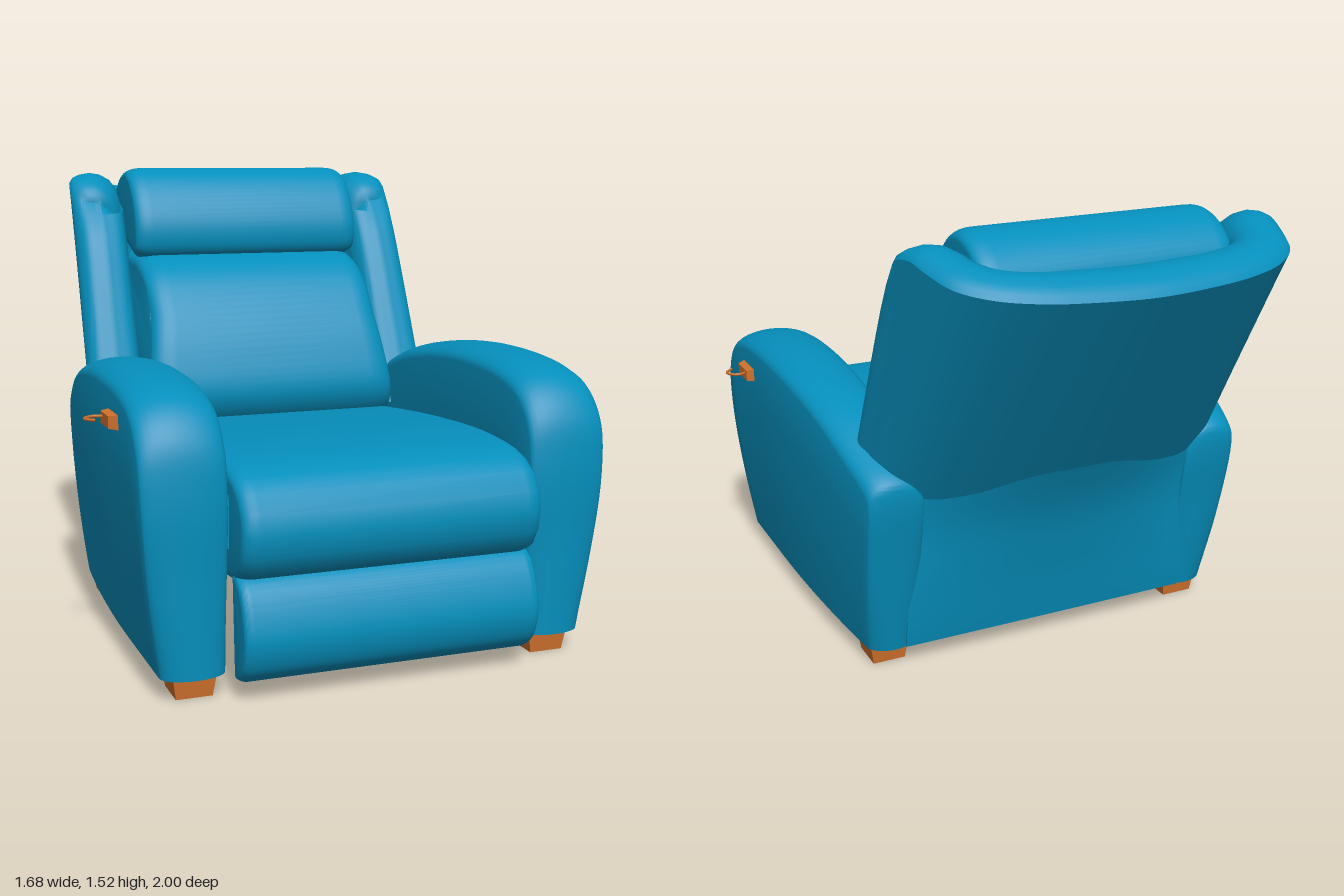
import * as THREE from 'three';
import { toCreasedNormals } from 'three/addons/utils/BufferGeometryUtils.js';

const fabric = new THREE.MeshStandardMaterial({ color: 0x058fbc });
fabric.name = 'blue upholstery';
const wood = new THREE.MeshStandardMaterial({ color: 0xcf712d });
wood.name = 'orange wood';

const lerp = THREE.MathUtils.lerp;
const clamp = THREE.MathUtils.clamp;
const spline = (points) => new THREE.CatmullRomCurve3(points.map(([a, b]) => new THREE.Vector3(a, b, 0)));

// Move every vertex by a rule, then recompute normals with sharp edges kept
function shapeBy(geometry, rule) {
  const p = geometry.attributes.position;
  const v = new THREE.Vector3();
  for (let i = 0; i < p.count; i++) {
    v.fromBufferAttribute(p, i);
    rule(v);
    p.setXYZ(i, v.x, v.y, v.z);
  }
  return toCreasedNormals(geometry, 0.6);
}

// Padded slab: a [z, y] side profile extruded across x, centred on x = 0
function slab(profile, tail, width, bevelSize, bevelThickness, rule = () => {}, steps = 1) {
  const outline = spline(profile.map(([z, y]) => [-z, y])).getSpacedPoints(44).map((p) => new THREE.Vector2(p.x, p.y));
  tail.forEach(([z, y]) => outline.push(new THREE.Vector2(-z, y)));
  const depth = width - 2 * bevelThickness;
  const g = new THREE.ExtrudeGeometry(new THREE.Shape(outline), {
    depth, steps, bevelEnabled: bevelSize > 0, bevelSize, bevelThickness,
    bevelOffset: -bevelSize, bevelSegments: 6,
  });
  g.translate(0, 0, -depth / 2);
  g.rotateY(Math.PI / 2);
  return shapeBy(g, rule);
}

// Skin over a row of closed sections (arrays of Vector3), with both ends filled
function loft(sections, flip = false) {
  const n = sections[0].length, last = sections.length - 1;
  const points = sections.flat();
  const index = [];
  const face = (a, b, c) => index.push(...(flip ? [a, c, b] : [a, b, c]));
  const centres = [sections[0], sections[last]].map((s) => {
    const c = new THREE.Vector3();
    s.forEach((p) => c.addScaledVector(p, 1 / n));
    return points.push(c) - 1;
  });
  for (let j = 0; j < n; j++) {
    const k = (j + 1) % n;
    for (let i = 0; i < last; i++) {
      face(i * n + j, (i + 1) * n + j, (i + 1) * n + k);
      face(i * n + j, (i + 1) * n + k, i * n + k);
    }
    face(j, k, centres[0]);
    face(last * n + k, last * n + j, centres[1]);
  }
  const g = new THREE.BufferGeometry().setFromPoints(points);
  g.setIndex(index);
  return toCreasedNormals(g, 0.6);
}

// Wrap-around backrest: outer and inner halves of a U in [x, depth], carried up the recline
function backrest() {
  const outer = [[0, 0], [0.2, 0.015], [0.35, 0.04], [0.48, 0.085], [0.57, 0.155], [0.61, 0.25],
    [0.63, 0.34], [0.642, 0.42], [0.612, 0.475], [0.545, 0.49]];
  const inner = [[0, 0.2], [0.15, 0.205], [0.28, 0.215], [0.37, 0.24], [0.42, 0.29], [0.437, 0.34],
    [0.445, 0.38], [0.452, 0.42], [0.48, 0.47], [0.545, 0.49]];
  const full = (h) => spline([...h.slice(1).reverse(), ...h.map(([x, d]) => [-x, d])]).getPoints(108);
  const O = full(outer), I = full(inner);
  const low = 0.56, high = 1.37;
  // Section as [fraction from outer to inner, height fraction, roll height]
  const levels = Array.from({ length: 9 }, (_, i) => i / 8);
  const section = [
    ...levels.map((t) => [0, t, 0]),
    [0.06, 1, 0.018], [0.2, 1, 0.03], [0.4, 1, 0.036], [0.6, 1, 0.03], [0.8, 1, 0.01], [0.93, 1, -0.025], [1, 1, -0.07],
    ...levels.slice(0, 8).reverse().map((t) => [1, t, 0]),
  ];
  return loft(O.map((o, i) => section.map(([s, t, roll]) => {
    const p = o.clone().lerp(I[i], s);
    const thick = Math.min(1, o.distanceTo(I[i]) / 0.15);
    const d = p.y * lerp(0.62, 1, t);
    // The wing tops roll over towards the front
    const drop = 3.5 * t ** 4 * Math.max(0, d - 0.3) ** 2;
    return new THREE.Vector3(p.x * lerp(1.01, 0.98, t),
      lerp(low, high, t) + roll * thick + 0.3 * d - drop, lerp(-0.453, -0.995, t) + d);
  })));
}

// Arm: rays from a floor line out to a [z, y] profile; outside tapers to the floor and the rear
function arm(side) {
  const profile = spline([
    [0.9, 0.07], [0.905, 0.35], [0.91, 0.62], [0.885, 0.77], [0.81, 0.865], [0.68, 0.912], [0.4, 0.932],
    [0.15, 0.915], [-0.1, 0.865], [-0.3, 0.785], [-0.44, 0.71], [-0.452, 0.67], [-0.41, 0.4], [-0.35, 0.07],
  ]).getPoints(78);
  const edge = 0.055;
  // Section as [fraction of the ray, inset from the profile, fraction across]
  const rays = [0, 0.25, 0.5, 0.75];
  const arch = Array.from({ length: 15 }, (_, i) => {
    const a = (i / 14) * Math.PI;
    return [1, edge * (1 - Math.sin(a)), 0.5 + 0.5 * Math.cos(a)];
  });
  const section = [...rays.map((f) => [f, edge, 1]), ...arch, ...rays.slice().reverse().map((f) => [f, edge, 0])];
  return loft(profile.map((p) => {
    const foot = new THREE.Vector3(0.2 + (p.x - 0.2) * 0.6, 0.07, 0);
    const length = p.distanceTo(foot);
    return section.map(([f, inset, across]) => {
      const q = foot.clone().lerp(p, f * (1 - inset / length));
      const floor = 1 - 0.29 * Math.max(0, 1 - q.y / 0.8) ** 2;
      const rear = 1 - 0.28 * Math.max(0, (0.5 - q.x) / 0.95) ** 2;
      return new THREE.Vector3(side * (0.49 + 0.262 * across * floor * rear), q.y, q.x);
    });
  }), side < 0);
}

export function createModel() {
  const model = new THREE.Group();
  model.name = 'recliner';
  const add = (name, geometry, material = fabric) => {
    const mesh = new THREE.Mesh(geometry, material);
    mesh.name = name;
    model.add(mesh);
    return mesh;
  };

  // Seat and footrest
  add('seatCushion', slab([
    [-0.35, 0.38], [0.3, 0.35], [0.88, 0.345], [0.965, 0.39], [1, 0.5], [0.97, 0.6],
    [0.89, 0.66], [0.7, 0.69], [0.3, 0.68], [-0.35, 0.62],
  ], [], 0.955, 0.03, 0.05));
  add('seatBase', new THREE.BoxGeometry(0.99, 0.16, 1.15)).position.set(0, 0.52, 0.28);
  add('footrest', slab([
    [0.88, 0.385], [0.945, 0.345], [0.985, 0.27], [1, 0.18], [0.975, 0.1], [0.93, 0.06], [0.89, 0.05],
  ], [], 0.95, 0.02, 0.03));
  add('underSeatRail', new THREE.BoxGeometry(0.92, 0.08, 0.06)).position.set(0, 0.33, 0.6);

  // Lumbar cushion, wider towards the seat
  add('backCushion', slab([
    [-0.32, 0.6], [-0.15, 0.6], [-0.07, 0.71], [-0.1, 0.87], [-0.19, 1.05],
    [-0.28, 1.15], [-0.4, 1.205], [-0.64, 1.22],
  ], [], 0.86, 0.045, 0.08, (v) => {
    v.x *= lerp(1.1, 0.99, clamp((v.y - 0.65) / 0.35, 0, 1));
  }));
  add('headPillow', slab([
    [-0.44, 1.19], [-0.385, 1.215], [-0.37, 1.3], [-0.41, 1.41], [-0.48, 1.49], [-0.56, 1.52],
    [-0.66, 1.495], [-0.74, 1.42], [-0.76, 1.3],
  ], [], 0.86, 0.03, 0.06));
  add('wingedBackrest', backrest());

  // Lower back panel, bowed to meet the backrest
  add('lowerBackPanel', slab([
    [-0.35, 0.07], [-0.4, 0.3], [-0.455, 0.5], [-0.525, 0.66], [-0.61, 0.82],
  ], [[-0.5, 0.82], [-0.33, 0.5], [-0.27, 0.07]], 1.06, 0, 0, (v) => {
    v.z += 0.4 * v.x * v.x * clamp(v.y / 0.7, 0, 1) ** 2;
  }, 16));

  for (const side of [1, -1]) {
    const label = side > 0 ? 'left' : 'right';
    add(label + 'Arm', arm(side));

    // Tapered feet
    for (const [end, x, z] of [['Front', 0.585, 0.79], ['Rear', 0.57, -0.23]]) {
      const foot = shapeBy(new THREE.BoxGeometry(0.14, 0.09, 0.14), (v) => {
        if (v.y < 0) { v.x *= 0.8; v.z *= 0.86; }
      });
      add(label + end + 'Foot', foot, wood).position.set(side * x, 0.045, z);
    }

    // Recline handle: a tapered plate with a thin curved lever
    const plate = shapeBy(new THREE.BoxGeometry(0.045, 0.05, 0.145), (v) => {
      if (v.x * side > 0) { v.y *= 0.75; v.z = v.z * 0.7 - 0.01; }
    });
    add(label + 'HandlePlate', plate, wood).position.set(side * 0.755, 0.793, 0.597);
    const lever = new THREE.CatmullRomCurve3(
      [[0.765, 0.565], [0.8, 0.55], [0.828, 0.565], [0.835, 0.59], [0.81, 0.622]]
        .map(([x, z]) => new THREE.Vector3(side * x, 0.798, z)));
    add(label + 'HandleLever', new THREE.TubeGeometry(lever, 20, 0.005, 6), wood);
  }
  return model;
}
